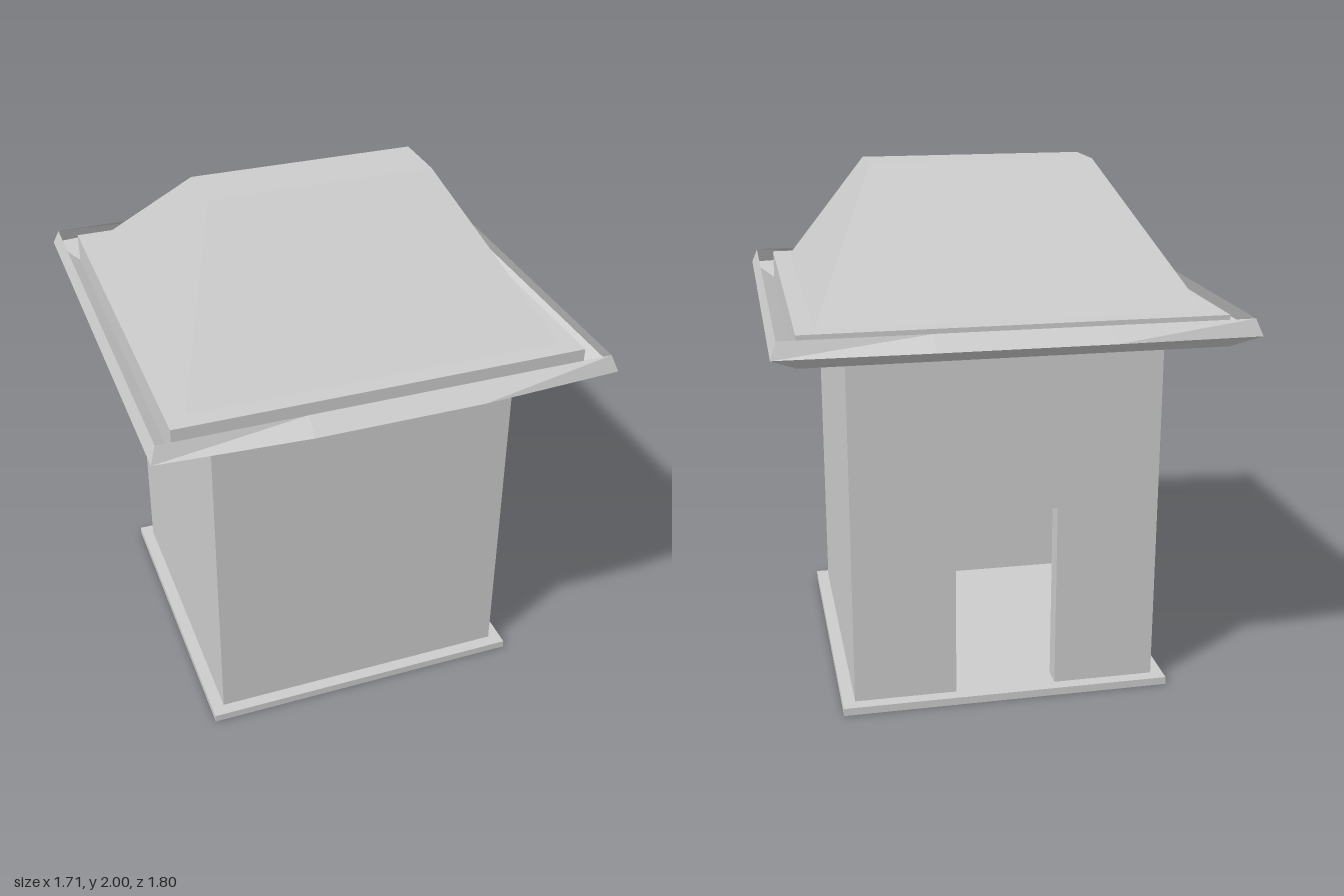
import * as THREE from 'three';

const grey = new THREE.MeshStandardMaterial({ color: 0xcccccc, flatShading: true });
const greyThin = new THREE.MeshStandardMaterial({ color: 0xcccccc, flatShading: true, side: THREE.DoubleSide });

export function createModel() {
  const model = new THREE.Group();

  const add = (name, geometry, material = grey) => {
    const mesh = new THREE.Mesh(geometry, material);
    mesh.name = name;
    model.add(mesh);
  };

  // Box between two heights, given half sizes in x and z
  const slab = (hx, hz, y0, y1, z = 0) =>
    new THREE.BoxGeometry(2 * hx, y1 - y0, 2 * hz).translate(0, (y0 + y1) / 2, z);

  const wall = 0.587, inner = 0.51, door = 0.195;
  const floorY = 0.03, doorTop = 0.76, eaveY = 1.405, roofY = 1.52;

  add('basePlate', slab(0.635, 0.635, 0, floorY));

  // Hollow walls: a plan outline open at the doorway in the back
  const plan = new THREE.Shape([
    [door, wall], [door, inner], [inner, inner], [inner, -inner],
    [-inner, -inner], [-inner, inner], [-door, inner], [-door, wall],
    [-wall, wall], [-wall, -wall], [wall, -wall], [wall, wall],
  ].map(([x, y]) => new THREE.Vector2(x, y)));
  const walls = new THREE.ExtrudeGeometry(plan, { depth: eaveY - floorY, bevelEnabled: false });
  walls.rotateX(-Math.PI / 2).translate(0, floorY, 0);
  add('walls', walls);

  add('doorLintel', slab(door, (wall - inner) / 2, doorTop, eaveY, -(wall + inner) / 2));
  add('ceiling', slab(inner, inner, 1.21, eaveY));
  add('eaveSlab', slab(0.765, 0.765, eaveY, roofY));

  // Open gutter around the eave; its outer rim bows out at front and back
  const ring = (half, y, midZ = half, midY = y) => {
    const front = [[-half, y, half], [-0.31, midY, midZ], [0.31, midY, midZ], [half, y, half]];
    return [...front, ...front.map(([x, h, z]) => [-x, h, -z])];
  };
  const rings = [ring(0.765, eaveY), ring(0.855, 1.46, 0.9, 1.47), ring(0.833, roofY)];
  const points = [];
  for (let r = 0; r < rings.length - 1; r++) {
    for (let i = 0; i < 8; i++) {
      const j = (i + 1) % 8;
      const [a, b, c, d] = [rings[r][i], rings[r][j], rings[r + 1][j], rings[r + 1][i]];
      points.push(...a, ...b, ...c, ...a, ...c, ...d);
    }
  }
  const gutter = new THREE.BufferGeometry();
  gutter.setAttribute('position', new THREE.Float32BufferAttribute(points, 3));
  gutter.computeVertexNormals();
  add('eaveGutter', gutter, greyThin);

  // Hipped roof with a flat ridge: a box with its top drawn in
  const roof = slab(0.695, 0.695, roofY, 2);
  const pos = roof.attributes.position;
  for (let i = 0; i < pos.count; i++) {
    if (pos.getY(i) > 1.9) {
      pos.setX(i, Math.sign(pos.getX(i)) * 0.43);
      pos.setZ(i, Math.sign(pos.getZ(i)) * 0.11);
    }
  }
  roof.computeVertexNormals();
  add('roof', roof);

  return model;
}
